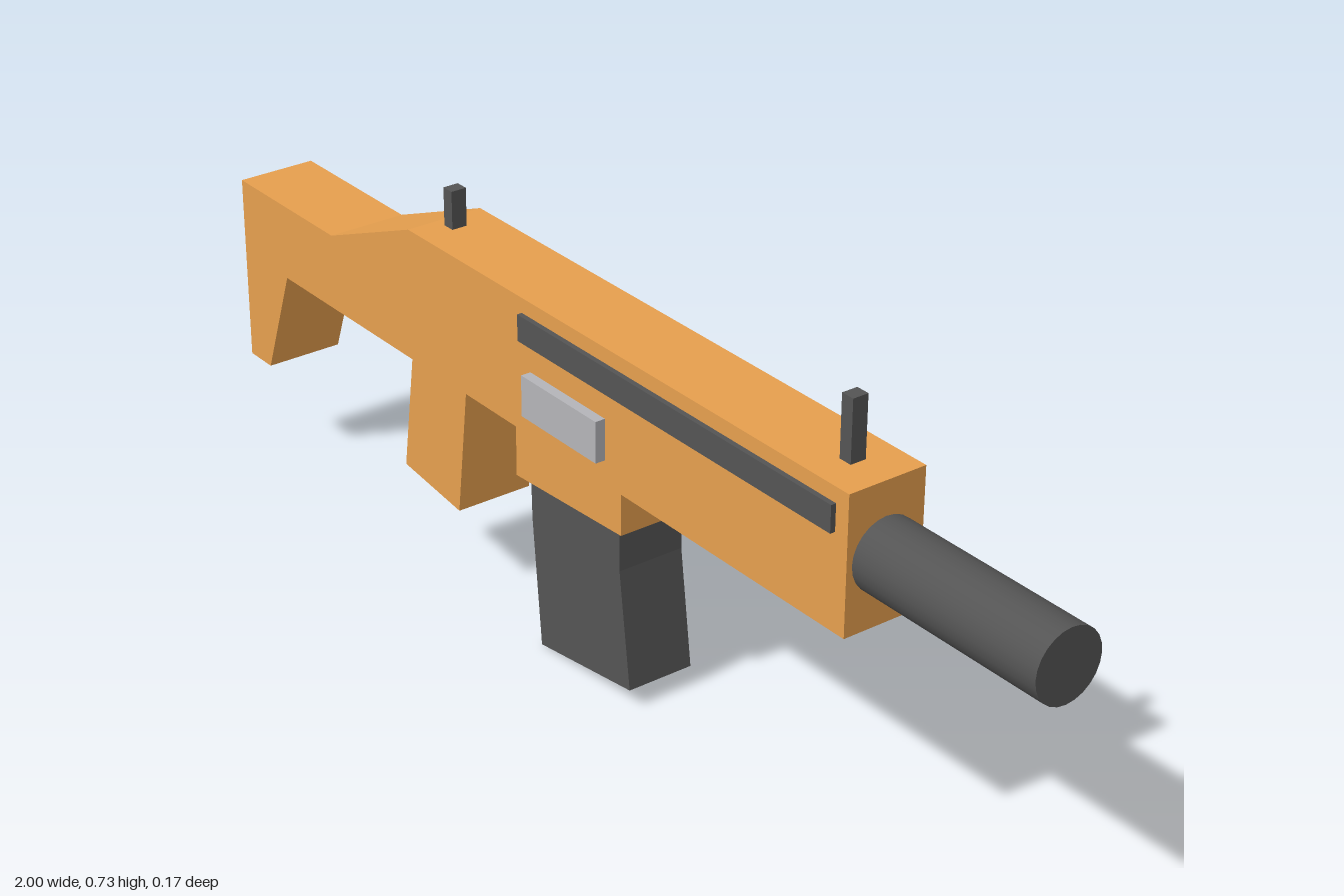
import * as THREE from 'three';

const paint = (color) => new THREE.MeshStandardMaterial({ color });

export function createModel() {
  const group = new THREE.Group();
  const orange = paint(0xe69f4e), dark = paint(0x545454), grey = paint(0xb4b4b8);
  const midZ = -0.004;

  const add = (name, geometry, material) => {
    const mesh = new THREE.Mesh(geometry, material);
    mesh.name = name;
    group.add(mesh);
    return mesh;
  };
  // Side outline extruded across the width, centred on midZ
  const slab = (name, points, width, material) => {
    const shape = new THREE.Shape(points.map(([x, y]) => new THREE.Vector2(x, y)));
    const geometry = new THREE.ExtrudeGeometry(shape, { depth: width, bevelEnabled: false });
    return add(name, geometry.translate(0, 0, midZ - width / 2), material);
  };
  // Box given by its limits on each axis
  const block = (name, [x0, x1], [y0, y1], [z0, z1], material) =>
    add(name, new THREE.BoxGeometry(x1 - x0, y1 - y0, z1 - z0), material)
      .position.set((x0 + x1) / 2, (y0 + y1) / 2, (z0 + z1) / 2);

  // Stock, grip, receiver and magazine well in one outline
  slab('body', [
    [-1, 0.525], [-1, 0.187], [-0.937, 0.187], [-0.863, 0.388],
    [-0.472, 0.388], [-0.502, 0.178], [-0.344, 0.158], [-0.316, 0.388],
    [-0.176, 0.388], [-0.176, 0.3], [0.102, 0.315], [0.102, 0.388],
    [0.627, 0.388], [0.627, 0.623], [-0.472, 0.623], [-0.71, 0.525],
  ], 0.142, orange);

  // Magazine, bent forward at its lower part
  slab('magazine', [
    [-0.15, 0.297], [-0.148, 0.23], [-0.126, 0.002],
    [0.112, 0.034], [0.085, 0.24], [0.085, 0.314],
  ], 0.122, dark);

  // Barrel
  const barrel = add('barrel', new THREE.CylinderGeometry(0.061, 0.061, 0.4, 24), dark);
  barrel.rotation.z = -Math.PI / 2;
  barrel.position.set(0.8, 0.504, midZ);

  // Sights
  block('rearSight', [-0.451, -0.428], [0.61, 0.69], [-0.018, 0.01], dark);
  block('frontSight', [0.539, 0.563], [0.61, 0.728], [-0.018, 0.01], dark);

  // Side rails
  for (const [name, side] of [['frontRail', 1], ['backRail', -1]]) {
    const z = [midZ + side * 0.06, midZ + side * 0.08].sort((a, b) => a - b);
    block(name, [-0.155, 0.6], [0.551, 0.597], z, dark);
  }

  // Ejection port cover
  block('portCover', [-0.134, 0.061], [0.43, 0.502], [0.05, 0.085], grey);

  return group;
}
